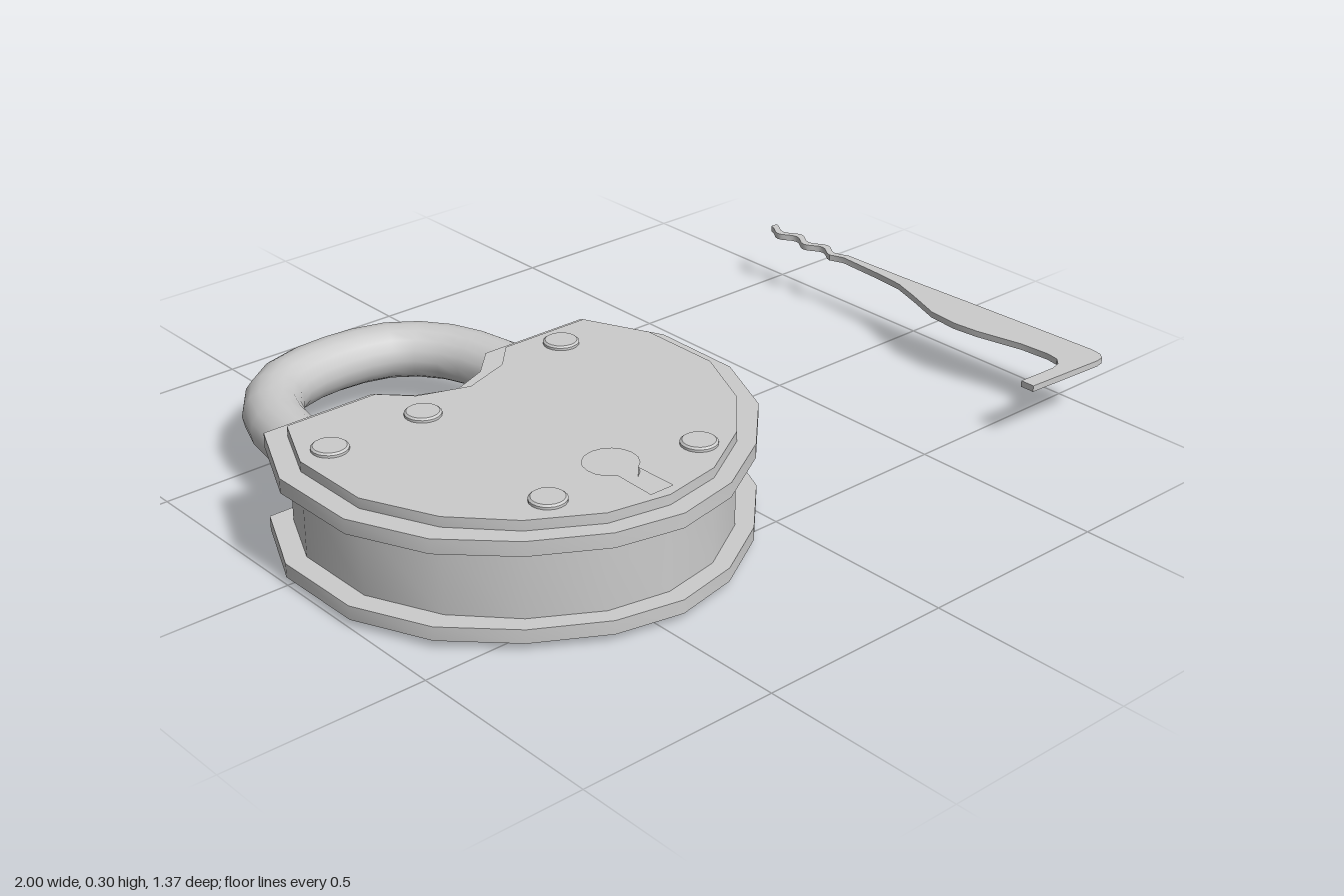
import * as THREE from 'three';
import { toCreasedNormals } from 'three/addons/utils/BufferGeometryUtils.js';

const CX = -0.447; // symmetry axis of the lock
const material = new THREE.MeshStandardMaterial({ color: 0xcccccc });

function addMesh(parent, name, geometry) {
  const mesh = new THREE.Mesh(geometry, material);
  mesh.name = name;
  parent.add(mesh);
  return mesh;
}

// Plan outlines are [x, z] pairs; shapes use y = -z
const toVectors = (pts) => pts.map(([x, z]) => new THREE.Vector2(x, -z));

// Mirrors a half outline (offsets from the lock axis, first and last on the axis)
function mirrored(half) {
  const right = half.map(([x, z]) => [CX + x, z]);
  const left = half.slice(1, -1).reverse().map(([x, z]) => [CX - x, z]);
  return toVectors([...right, ...left]);
}

// Flat slab lying between heights y0 and y1
function slab(points, y0, y1, holes = []) {
  const shape = new THREE.Shape(points);
  shape.holes.push(...holes);
  const geo = new THREE.ExtrudeGeometry(shape, { depth: y1 - y0, bevelEnabled: false });
  geo.rotateX(-Math.PI / 2);
  geo.translate(0, y0, 0);
  return toCreasedNormals(geo, 0.6);
}

function keyhole() {
  const cz = 0.44, r = 0.063, w = 0.028;
  const a0 = Math.asin(w / r);
  const pts = [[CX - w - 0.003, 0.605]];
  for (let i = 0; i <= 14; i++) {
    const a = a0 + (i / 14) * (Math.PI * 2 - 2 * a0);
    pts.push([CX - r * Math.sin(a), cz + r * Math.cos(a)]);
  }
  pts.push([CX + w + 0.003, 0.605]);
  return new THREE.Path(toVectors(pts));
}

export function createModel() {
  const model = new THREE.Group();
  const lock = new THREE.Group();
  lock.name = 'padlock';
  model.add(lock);

  // Case: wide cover plates around a narrower body
  const outer = mirrored([
    [0, -0.097], [0.094, -0.135], [0.165, -0.205], [0.46, -0.205], [0.552, -0.005], [0.55, 0.23],
    [0.467, 0.413], [0.328, 0.55], [0.164, 0.645], [0, 0.678],
  ]);
  const inner = mirrored([
    [0, -0.048], [0.124, -0.09], [0.189, -0.158], [0.428, -0.158], [0.5, 0], [0.5, 0.215],
    [0.42, 0.39], [0.302, 0.515], [0.15, 0.605], [0, 0.632],
  ]);
  addMesh(lock, 'bottomPlate', slab(outer, 0.018, 0.052));
  addMesh(lock, 'body', slab(inner, 0.05, 0.228));
  addMesh(lock, 'topPlate', slab(outer, 0.227, 0.263));
  addMesh(lock, 'facePlate', slab(inner, 0.263, 0.288, [keyhole()]));

  // Rivets on both faces
  const rivetProfile = [[0, 0], [0.043, 0], [0.043, 0.014], [0.038, 0.018], [0, 0.018]]
    .map(([x, y]) => new THREE.Vector2(x, y));
  const rivetGeo = toCreasedNormals(new THREE.LatheGeometry(rivetProfile, 20), 0.5);
  for (const [x, z] of [[-0.866, -0.005], [-0.615, -0.005], [-0.145, -0.09], [-0.655, 0.482], [-0.246, 0.502]]) {
    addMesh(lock, 'topRivet', rivetGeo).position.set(x, 0.28, z);
    const under = addMesh(lock, 'bottomRivet', rivetGeo);
    under.position.set(x, 0.018, z);
    under.rotation.x = Math.PI;
  }

  // Shackle: round bar bent into a U
  const leg = [[0.312, -0.1], [0.309, -0.2], [0.294, -0.385], [0.258, -0.487], [0.188, -0.568], [0.113, -0.603]];
  const path = [
    ...leg.map(([x, z]) => new THREE.Vector3(CX - x, 0, z)),
    new THREE.Vector3(CX, 0, -0.616),
    ...leg.slice().reverse().map(([x, z]) => new THREE.Vector3(CX + x, 0, z)),
  ];
  const shackle = new THREE.TubeGeometry(new THREE.CatmullRomCurve3(path), 18, 0.073, 16);
  shackle.scale(1, 0.94, 1);
  shackle.translate(0, 0.138, 0);
  addMesh(lock, 'shackle', shackle);

  // Key pick: bent handle, swelling blade and wavy tip
  const wave = [];
  for (let i = 0; i <= 20; i++) {
    const t = i / 20;
    wave.push([0.957 + 0.012 * Math.cos(t * Math.PI * 5), -0.508 + 0.25 * t]);
  }
  const pick = toVectors([
    ...wave.map(([x, z]) => [x + 0.01, z]),
    [0.97, -0.22], [0.975, -0.02], [0.985, 0.2], [0.995, 0.45], [1, 0.59], [0.995, 0.62], [0.982, 0.636], [0.958, 0.64],
    [0.733, 0.628], [0.733, 0.59], [0.845, 0.594], [0.873, 0.587], [0.892, 0.568], [0.898, 0.535],
    [0.893, 0.455], [0.866, 0.33], [0.859, 0.26], [0.868, 0.175], [0.905, 0.08], [0.933, 0], [0.942, -0.08], [0.95, -0.22],
    ...wave.map(([x, z]) => [x - 0.01, z]).reverse(),
  ]);
  addMesh(model, 'pick', slab(pick, 0.14, 0.156));

  return model;
}
